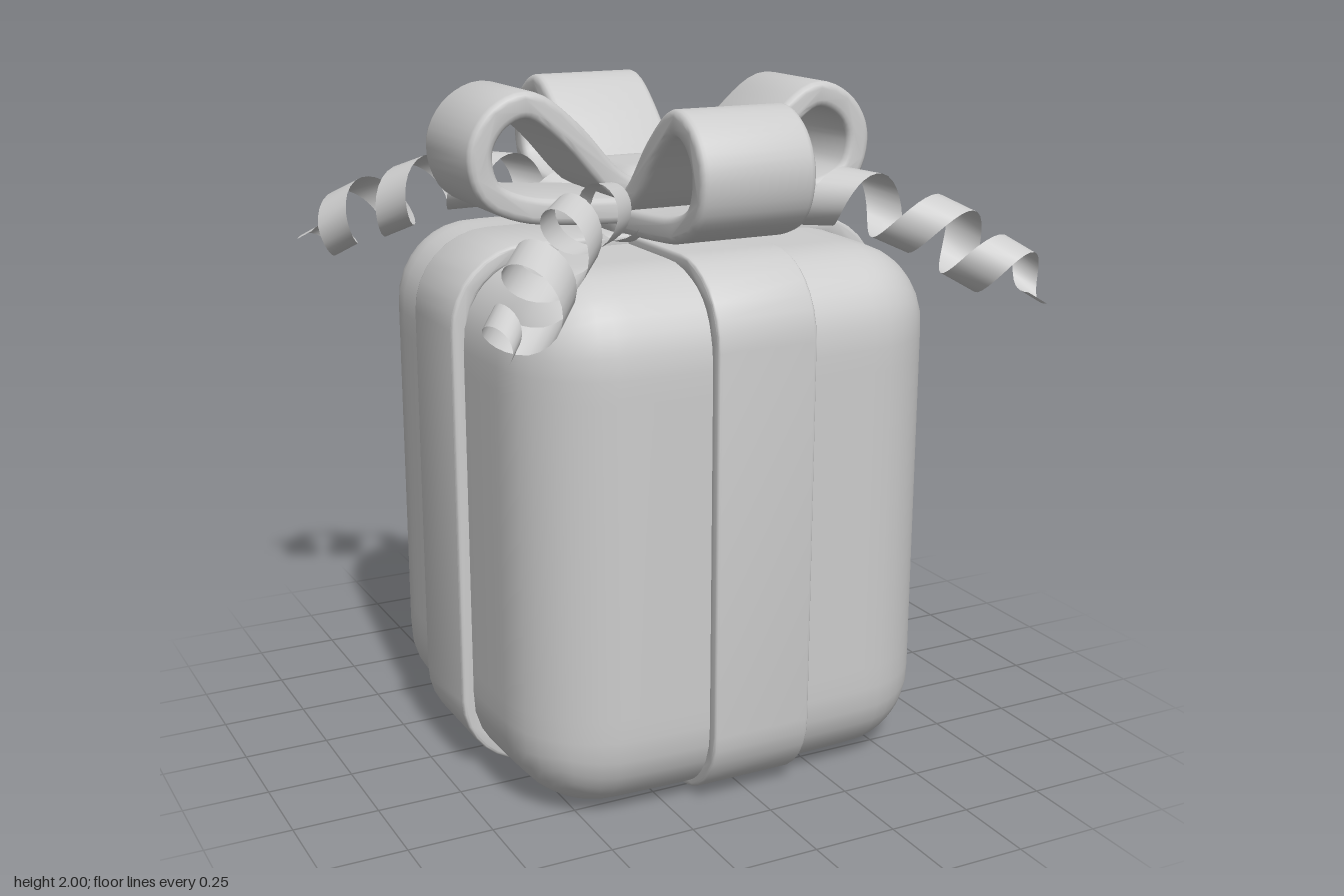
import * as THREE from 'three';
import { mergeVertices, toCreasedNormals } from 'three/addons/utils/BufferGeometryUtils.js';

const grey = new THREE.MeshStandardMaterial({ color: 0xcccccc, side: THREE.DoubleSide });
grey.name = 'plain grey';

function part(name, geometry) {
  const mesh = new THREE.Mesh(geometry, grey);
  mesh.name = name;
  return mesh;
}

// Rounded block whose sides swell outward by `bulge` at the middle
function pillowBlock(w, h, d, r, bulge, seg = 24) {
  const g = new THREE.BoxGeometry(w, h, d, seg, seg, seg);
  g.deleteAttribute('uv');
  g.deleteAttribute('normal');
  const inner = new THREE.Vector3(w / 2 - r, h / 2 - r, d / 2 - r);
  const outer = inner.clone().negate();
  const p = new THREE.Vector3(), core = new THREE.Vector3();
  const pos = g.attributes.position;
  for (let i = 0; i < pos.count; i++) {
    p.fromBufferAttribute(pos, i);
    core.copy(p).clamp(outer, inner);
    p.sub(core).setLength(r).add(core);
    const u = 2 * p.x / w, v = 2 * p.z / d;
    p.x += u * bulge * (1 - v * v);
    p.z += v * bulge * (1 - u * u);
    pos.setXYZ(i, p.x, p.y, p.z);
  }
  const merged = mergeVertices(g);
  merged.computeVertexNormals();
  return merged;
}

// Thick ribbon following an open 2D path, extruded across its width
function ribbonBand(path, width, thickness, bevel) {
  const left = [], right = [];
  path.forEach((p, i) => {
    const a = path[Math.max(i - 1, 0)], b = path[Math.min(i + 1, path.length - 1)];
    const n = new THREE.Vector2(a.y - b.y, b.x - a.x).setLength(thickness / 2);
    left.push(p.clone().add(n));
    right.push(p.clone().sub(n));
  });
  const g = new THREE.ExtrudeGeometry(new THREE.Shape([...left, ...right.reverse()]), {
    depth: width - 2 * bevel, bevelEnabled: true, bevelSize: bevel,
    bevelThickness: bevel, bevelOffset: -bevel, bevelSegments: 3,
  });
  g.translate(0, 0, bevel - width / 2);
  return toCreasedNormals(g, 0.7);
}

// Rounded rectangle path that begins and ends under the box
function wrapPath(half, bottom, top, r) {
  const pts = [new THREE.Vector2(0, bottom)];
  const corners = [[half - r, bottom + r], [half - r, top - r], [r - half, top - r], [r - half, bottom + r]];
  corners.forEach(([x, y], k) => {
    for (let i = 0; i <= 8; i++) {
      const a = (k - 1 + i / 8) * Math.PI / 2;
      pts.push(new THREE.Vector2(x + r * Math.cos(a), y + r * Math.sin(a)));
    }
  });
  pts.push(new THREE.Vector2(0, bottom));
  return pts;
}

// Thin curled streamer: a strip wound round a drooping axis, with a straighter tail
function curlStreamer(phase, turns) {
  const axis = new THREE.CatmullRomCurve3([
    [0.24, 1.64], [0.45, 1.68], [0.65, 1.67], [0.85, 1.6], [1.0, 1.53], [1.15, 1.45],
  ].map(([x, y]) => new THREE.Vector3(x, y, 0)));
  const g = new THREE.PlaneGeometry(1, 1, 90, 1);
  const pos = g.attributes.position;
  for (let i = 0; i < pos.count; i++) {
    const t = pos.getX(i) + 0.5, v = pos.getY(i);
    const c = axis.getPoint(t), dir = axis.getTangent(t);
    const a = phase + t * turns * Math.PI * 2;
    const fade = Math.min(1, (1 - t) * 5);
    const r = 0.025 + (0.05 + 0.035 * t) * fade;
    const w = v * (0.06 + 0.05 * fade);
    const s = Math.sin(a) * r;
    pos.setXYZ(i, c.x - dir.y * s + dir.x * w, c.y + dir.x * s + dir.y * w, Math.cos(a) * r);
  }
  g.computeVertexNormals();
  return g;
}

export function createModel() {
  const model = new THREE.Group();
  model.name = 'giftBox';

  // Box body
  const box = part('box', pillowBlock(1.27, 1.55, 1.27, 0.24, 0.031));
  box.position.y = 0.778;
  model.add(box);

  // Two crossing ribbons wrapped round the box
  const wrap = ribbonBand(wrapPath(0.673, 0.03, 1.555, 0.205), 0.305, 0.05, 0.01);
  ['sideRibbon', 'frontRibbon'].forEach((name, i) => {
    const ribbon = part(name, wrap);
    ribbon.rotation.y = i * Math.PI / 2;
    model.add(ribbon);
  });

  // Bow: four plump loops, each lifted a little differently, and a knot
  const bow = new THREE.Group();
  bow.name = 'bow';
  const loopCurve = new THREE.SplineCurve([
    [0.08, 1.66], [0.2, 1.71], [0.33, 1.85], [0.45, 1.938], [0.55, 1.91],
    [0.605, 1.82], [0.58, 1.71], [0.48, 1.655], [0.32, 1.635], [0.08, 1.625],
  ].map(([x, y]) => new THREE.Vector2(x, y)));
  const loop = ribbonBand(loopCurve.getPoints(45), 0.35, 0.075, 0.02);
  [0.008, 0, 0.024, -0.008].forEach((lift, i) => {
    const mesh = part('bowLoop', loop);
    mesh.rotation.y = i * Math.PI / 2;
    mesh.position.y = lift;
    bow.add(mesh);
  });
  const knot = part('knot', pillowBlock(0.35, 0.24, 0.35, 0.08, 0.01, 12));
  knot.position.y = 1.65;
  bow.add(knot);
  model.add(bow);

  // Curled streamers on the diagonals
  for (let i = 0; i < 4; i++) {
    const curl = part('curledStreamer', curlStreamer(i * 1.7, 4));
    curl.rotation.y = (i + 0.5) * Math.PI / 2;
    model.add(curl);
  }
  return model;
}
